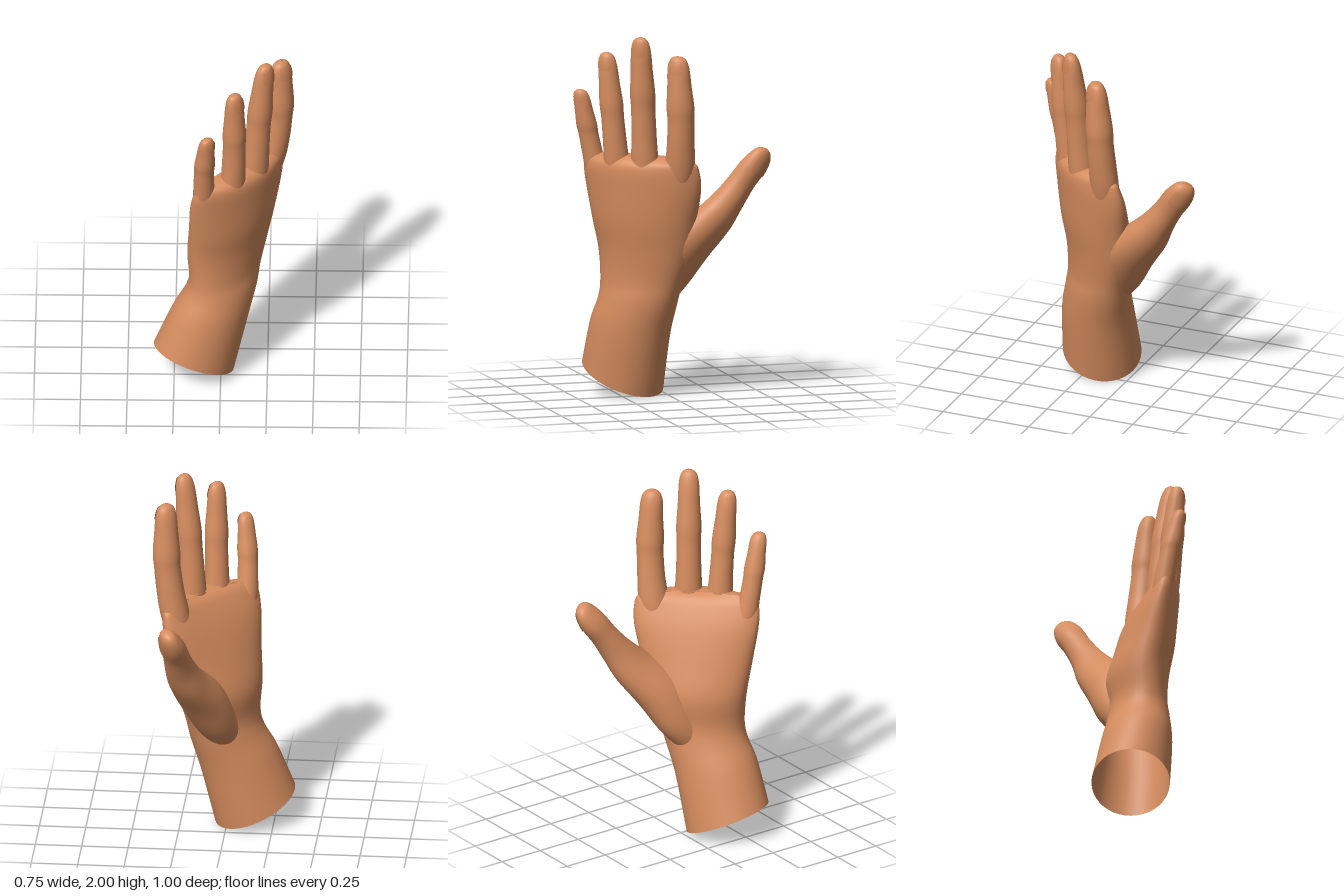
import * as THREE from 'three';

const V = (x, y, z) => new THREE.Vector3(x, y, z);
const UP = V(0, 1, 0);
const BACK_OF_HAND = V(0.74, 0, 0.67).normalize();

// Smooth surface through oval sections [x, y, z, halfWidth, halfDepth, arch, tilt].
// v counts sections, angle runs around; angle PI/2 points along the normal.
function surface(sections, axis, normal) {
  const n = normal.clone().normalize();
  const u = axis.clone().cross(n).normalize();
  const last = sections.length - 1;
  const at = (i, k) => sections[THREE.MathUtils.clamp(i, 0, last)][k] ?? 0;
  const sample = (v, k) => {
    const i = Math.min(Math.floor(v), last - 1), t = v - i;
    const p0 = at(i - 1, k), p1 = at(i, k), p2 = at(i + 1, k), p3 = at(i + 2, k);
    return p1 + 0.5 * t * (p2 - p0 + t * (2 * p0 - 5 * p1 + 4 * p2 - p3 + t * (3 * (p1 - p2) + p3 - p0)));
  };
  return (v, angle, lift = 0) => {
    const [x, y, z, a, b, arch, tilt] = [0, 1, 2, 3, 4, 5, 6].map(k => sample(v, k));
    const c = Math.cos(angle), s = Math.sin(angle);
    const offset = u.clone().multiplyScalar((Math.max(a, 0) + lift) * c)
      .addScaledVector(n, (Math.max(b, 0) + lift) * s + arch * (1 - c * c));
    offset.y += tilt * (-0.39 * offset.x + 0.2 * offset.z);
    return offset.add(V(x, y, z));
  };
}

// Closed-round skin over a surface
function skin(surf, count, name, material) {
  const rows = (count - 1) * 6, cols = 40, pos = [], index = [];
  for (let i = 0; i <= rows; i++)
    for (let j = 0; j < cols; j++) pos.push(...surf(i / 6, (j / cols) * Math.PI * 2).toArray());
  for (let i = 0; i < rows; i++)
    for (let j = 0; j < cols; j++) {
      const a = i * cols + j, b = i * cols + (j + 1) % cols;
      index.push(a, a + cols, b, b, a + cols, b + cols);
    }
  const geo = new THREE.BufferGeometry();
  geo.setAttribute('position', new THREE.Float32BufferAttribute(pos, 3));
  geo.setIndex(index);
  geo.computeVertexNormals();
  const mesh = new THREE.Mesh(geo, material);
  mesh.name = name;
  return mesh;
}

// Rounded nail plate laid just above the skin
function nail(surf, name, material) {
  const geo = new THREE.RingGeometry(0.01, 1, 32, 6);
  const p = geo.attributes.position;
  for (let i = 0; i < p.count; i++) {
    const x = p.getX(i), y = p.getY(i);
    const r = Math.hypot(x, y), q = r / Math.pow(x ** 4 + y ** 4, 0.25);
    const pt = surf(6.55 + y * q * 0.8, Math.PI / 2 - x * q * 0.85, 0.004);
    p.setXYZ(i, pt.x, pt.y, pt.z);
  }
  geo.computeVertexNormals();
  const mesh = new THREE.Mesh(geo, material);
  mesh.name = name;
  return mesh;
}

// Finger thickness: [position along finger, width, depth]
const FINGER = [
  [0, 0.8, 0.8], [0.2, 1.08, 1], [0.38, 1, 1], [0.55, 0.96, 0.95], [0.65, 1, 0.98],
  [0.79, 0.88, 0.85], [0.9, 0.82, 0.72], [0.96, 0.68, 0.55], [0.989, 0.42, 0.34], [1, 0.01, 0.01],
];

export function createModel() {
  const group = new THREE.Group();
  group.name = 'hand';
  const skinMat = new THREE.MeshStandardMaterial({ color: 0xd68d5f, side: THREE.DoubleSide });
  skinMat.name = 'skin';
  const nailMat = new THREE.MeshStandardMaterial({ color: 0xcf8759, side: THREE.DoubleSide });
  nailMat.name = 'nail';

  // Wrist and palm, open at the cut end
  const palm = [
    [-0.145, 0.1, 0.205, 0.22, 0.21, 0, 1],
    [-0.06, 0.37, 0.19, 0.22, 0.19, 0, 0.5],
    [0.0, 0.53, 0.165, 0.222, 0.165, 0, 0.15],
    [0.022, 0.64, 0.15, 0.235, 0.15, 0, 0],
    [0.034, 0.8, 0.13, 0.27, 0.16, 0.01, 0],
    [0.055, 0.97, 0.145, 0.3, 0.15, 0.025, 0],
    [0.075, 1.15, 0.155, 0.335, 0.125, 0.045, 0],
    [0.09, 1.26, 0.17, 0.338, 0.1, 0.055, 0],
    [0.1, 1.31, 0.175, 0.31, 0.075, 0.055, 0],
    [0.1, 1.335, 0.18, 0.2, 0.035, 0.055, 0],
    [0.1, 1.34, 0.18, 0.001, 0.001, 0.05, 0],
  ];
  group.add(skin(surface(palm, UP, BACK_OF_HAND), palm.length, 'wristAndPalm', skinMat));

  // Four fingers: root, middle joint, tip, radius
  const fingers = [
    ['index', V(0.235, 1.1, 0.01), V(0.308, 1.5, 0.018), V(0.322, 1.9, 0.04), 0.075],
    ['middle', V(0.175, 1.1, 0.175), V(0.2, 1.55, 0.195), V(0.24, 2, 0.225), 0.068],
    ['ring', V(0.06, 1.1, 0.285), V(0.073, 1.5, 0.325), V(0.075, 1.9, 0.365), 0.064],
    ['little', V(-0.085, 1.1, 0.34), V(-0.088, 1.4, 0.408), V(-0.07, 1.68, 0.468), 0.056],
  ];
  for (const [name, root, joint, tip, r] of fingers) {
    const path = new THREE.CatmullRomCurve3([root, joint, tip]);
    const sections = FINGER.map(([t, w, d]) => [...path.getPoint(t).toArray(), r * w, r * d]);
    const surf = surface(sections, UP, BACK_OF_HAND);
    group.add(skin(surf, sections.length, name + 'Finger', skinMat));
    group.add(nail(surf, name + 'Nail', nailMat));
  }

  // Thumb, swelling into the ball of the palm
  const thumb = [
    [0.01, 0.5, 0.12, 0.09, 0.09],
    [0.06, 0.66, 0.03, 0.14, 0.115],
    [0.125, 0.83, -0.06, 0.155, 0.125],
    [0.185, 0.97, -0.19, 0.125, 0.1],
    [0.215, 1.08, -0.275, 0.092, 0.082],
    [0.232, 1.18, -0.345, 0.078, 0.07],
    [0.247, 1.26, -0.402, 0.08, 0.066],
    [0.262, 1.32, -0.442, 0.068, 0.05],
    [0.27, 1.355, -0.463, 0.042, 0.03],
    [0.274, 1.366, -0.47, 0.001, 0.001],
  ];
  const thumbSurf = surface(thumb, V(0.17, 0.83, -0.53), V(0.8, -0.33, -0.45));
  group.add(skin(thumbSurf, thumb.length, 'thumb', skinMat));
  group.add(nail(thumbSurf, 'thumbNail', nailMat));

  return group;
}
